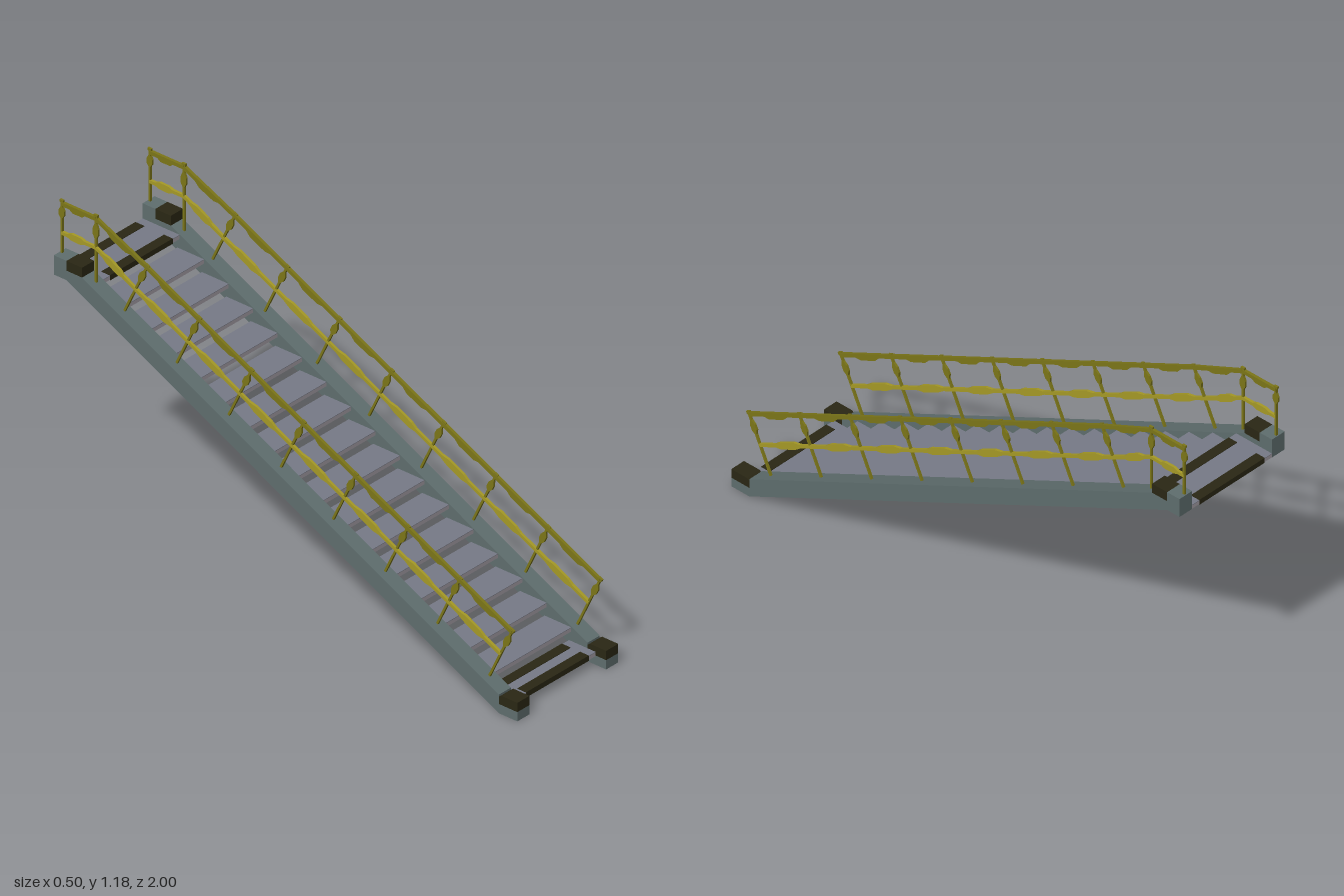
import * as THREE from 'three';

const mat = (name, color) => {
  const m = new THREE.MeshStandardMaterial({ color });
  m.name = name;
  return m;
};

export function createModel() {
  const steel = mat('steel', 0x5f6e6e);
  const dark = mat('dark grip', 0x2a2714);
  const edge = mat('tread edge', 0xa59fa7);
  const topGrey = mat('tread top', 0x777a87);
  const olive = mat('olive rail', 0x7c7618);
  const yellow = mat('yellow rail', 0xa69a26);

  const model = new THREE.Group();
  model.name = 'staircase';

  const add = (parent, name, geo, material) => {
    const m = new THREE.Mesh(geo, material);
    m.name = name;
    parent.add(m);
    return m;
  };

  // Side outline given as [z, y] points, extruded across x about a centre
  const slab = (pts, x, width) => {
    const shape = new THREE.Shape(pts.map(([z, y]) => new THREE.Vector2(-z, y)));
    const g = new THREE.ExtrudeGeometry(shape, { depth: width, bevelEnabled: false });
    g.rotateY(Math.PI / 2);
    return g.translate(x - width / 2, 0, 0);
  };

  // Flat bar from a to b; profile rows are [t along bar, upper offset, lower offset]
  const bar = (a, b, profile, x, width) => {
    const dz = b[0] - a[0], dy = b[1] - a[1], len = Math.hypot(dz, dy);
    const nz = dy / len, ny = -dz / len;
    const at = (t, v) => [a[0] + dz * t + nz * v, a[1] + dy * t + ny * v];
    const upper = profile.map(([t, u]) => at(t, u));
    const lower = profile.map(([t, , l]) => at(t, l)).reverse();
    return slab([...upper, ...lower], x, width);
  };

  // Stringers with dark caps at both ends
  const stringer = [[1, 0], [0.92, 0], [-0.945, 0.912], [-1, 0.912], [-1, 0.985], [-0.945, 0.985],
    [-0.945, 0.948], [-0.878, 0.948], [0.92, 0.07], [0.92, 0.035], [1, 0.035]];
  const lowCap = [[1, 0.035], [0.92, 0.035], [0.92, 0.062], [0.93, 0.07], [1, 0.07]];
  const highCap = [[-0.878, 0.948], [-0.945, 0.948], [-0.945, 0.985], [-0.878, 0.985]];

  // Rail profiles: thin bar with a swelling between the posts
  const topProfile = [[0, 0.007, -0.007], [0.3, 0.007, -0.007], [0.38, 0.007, -0.016],
    [0.66, 0.007, -0.017], [0.76, 0.007, -0.007], [1, 0.007, -0.007]];
  const midProfile = [[0, 0.006, -0.006], [0.32, 0.006, -0.006], [0.42, 0.012, -0.013],
    [0.7, 0.013, -0.012], [0.82, 0.006, -0.006], [1, 0.006, -0.006]];
  const w = 0.004;
  const postProfile = [[0, w, -w], [0.66, w, -w], [0.72, 0.012, -0.012], [0.8, 0.012, -0.012],
    [0.87, w, -w], [0.95, w, -w], [0.96, 0.008, -0.008], [1, 0.008, -0.008]];

  for (const [side, s] of [['left', 1], ['right', -1]]) {
    const g = new THREE.Group();
    g.name = side + 'Side';
    model.add(g);
    add(g, 'stringer', slab(stringer, s * 0.22, 0.06), steel);
    add(g, 'lowerCap', slab(lowCap, s * 0.22, 0.06), dark);
    add(g, 'upperCap', slab(highCap, s * 0.22, 0.06), dark);

    // Sloping posts square to the stringer, then two upright ones at the landing
    const x = s * 0.218;
    const topPts = [], midPts = [];
    for (let i = 0; i < 8; i++) {
      const z = 0.95 - 0.225 * i, y = 0.305 + 0.1095 * i;
      topPts.push([z, y]);
      midPts.push([z - 0.048, y - 0.102]);
      add(g, 'post', bar([z - 0.102, y - 0.213], [z + 0.004, y + 0.01], postProfile, x, 0.008), olive);
    }
    for (const [z, foot] of [[-0.845, 0.92], [-0.992, 0.98]]) {
      topPts.push([z, 1.17]);
      midPts.push([z, 1.06]);
      add(g, 'landingPost', bar([z, foot], [z, 1.185], postProfile, x, 0.008), olive);
    }
    for (let i = 0; i < topPts.length - 1; i++) {
      add(g, 'handrail', bar(topPts[i], topPts[i + 1], topProfile, x, 0.011), olive);
      add(g, 'midRail', bar(midPts[i], midPts[i + 1], midProfile, x, 0.01), yellow);
    }
  }

  // Treads: pale body with a thin grey top; the first and last carry dark grip strips
  const count = 18;
  const box = (w2, h, d, y, z) => new THREE.BoxGeometry(w2, h, d).translate(0, y, z);
  for (let i = 0; i < count; i++) {
    const last = i === count - 1;
    const front = 0.955 - 0.1056 * i;
    const depth = last ? 0.159 : 0.115;
    const y = 0.041 + 0.0517 * i, z = front - depth / 2;
    const t = new THREE.Group();
    t.name = 'tread' + (i + 1);
    model.add(t);
    add(t, 'treadBody', box(0.38, 0.014, depth, y - 0.001, z), edge);
    add(t, 'treadTop', box(0.38, 0.002, depth, y + 0.007, z), topGrey);
    if (i === 0 || last) {
      for (const e of [1, -1]) {
        add(t, 'gripStrip', box(0.31, 0.02, 0.038, y, z + e * (depth / 2 - 0.018)), dark);
      }
    }
  }
  return model;
}
